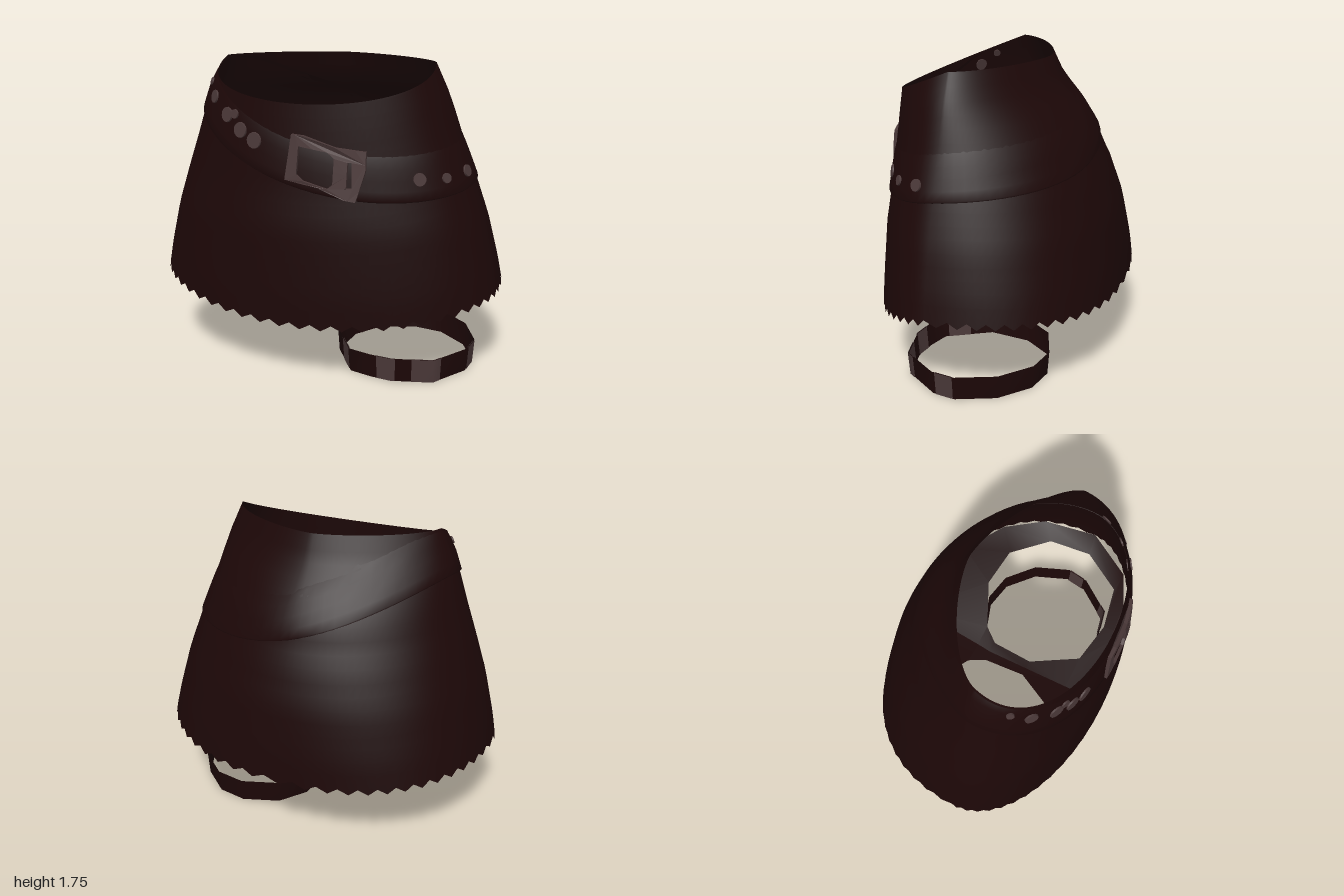
import * as THREE from 'three';

const leather = new THREE.MeshStandardMaterial({ color: 0x1c0707, side: THREE.DoubleSide });
leather.name = 'dark leather';
const metal = new THREE.MeshStandardMaterial({ color: 0x4a3838, side: THREE.DoubleSide });
metal.name = 'dull metal';

// Body profile: height, half width, front z, back z
const PROFILE = [
  [0.34, 1.025, 0.68, -0.685], [0.52, 1.0, 0.68, -0.675], [0.65, 0.975, 0.675, -0.66],
  [0.9, 0.915, 0.665, -0.62], [1.13, 0.84, 0.635, -0.55], [1.23, 0.805, 0.628, -0.503], [1.33, 0.77, 0.62, -0.475],
  [1.47, 0.725, 0.61, -0.39], [1.6, 0.68, 0.6, -0.28], [1.76, 0.605, 0.59, -0.21],
];
const CZ = 0.15;

function profile(y) {
  let i = 0;
  while (i < PROFILE.length - 2 && y > PROFILE[i + 1][0]) i++;
  const a = PROFILE[i], b = PROFILE[i + 1];
  const t = THREE.MathUtils.clamp((y - a[0]) / (b[0] - a[0]), 0, 1);
  return [1, 2, 3].map((k) => a[k] + (b[k] - a[k]) * t);
}

// Point on the body at angle a (0 = front, 90 degrees = +x) and height y
function surface(a, y, off = 0) {
  const [rx, zf, zb] = profile(y);
  const s = Math.sin(a), c = Math.cos(a);
  const n = c >= 0 ? 2 : THREE.MathUtils.mapLinear(y, 0.4, 1.76, 2.4, 1.5);
  const pow = (v) => Math.sign(v) * Math.abs(v) ** (2 / n);
  const depth = c >= 0 ? zf - CZ : CZ - zb;
  return new THREE.Vector3((rx + off) * pow(s), y, CZ + (depth + off) * pow(c));
}

// Height curves around the body
const rimY = (a) => Math.min(1.755, 1.75 - 0.41 * (surface(a, 1.66).z - 0.16));
const hemY = (a) => 0.4675 - 0.045 * Math.cos(a) - 0.0525 * Math.cos(2 * a);
const beltLow = (a) => 1.25 - 0.195 * Math.sin(a) - 0.06 * Math.cos(a) - 0.065 * Math.cos(2 * a);

// Grid surface from f(column, row); closed joins the last column to the first
function grid(cols, rows, closed, f) {
  const pos = [], idx = [], spans = closed ? cols : cols - 1;
  for (let i = 0; i < cols; i++) for (let j = 0; j < rows; j++) pos.push(...f(i, j).toArray());
  for (let i = 0; i < spans; i++) {
    for (let j = 0; j < rows - 1; j++) {
      const a = i * rows + j, b = ((i + 1) % cols) * rows + j;
      idx.push(a, b, b + 1, a, b + 1, a + 1);
    }
  }
  const g = new THREE.BufferGeometry();
  g.setAttribute('position', new THREE.Float32BufferAttribute(pos, 3));
  g.setIndex(idx);
  g.computeVertexNormals();
  return g;
}

function add(parent, name, geometry, material) {
  const m = new THREE.Mesh(geometry, material);
  m.name = name;
  parent.add(m);
  return m;
}

// Flaring skirt with a pointed hem
function skirt() {
  const cols = 108, rows = 20;
  return grid(cols, rows, true, (i, j) => {
    const a = (i / cols) * Math.PI * 2;
    const hem = hemY(a), t = j / (rows - 2);
    if (j === rows - 1) return surface(a, rimY(a));
    const y = j === 0 ? hem + (i % 2 ? 0.016 : -0.016) : hem + 0.03 + (rimY(a) - hem - 0.04) * t;
    return surface(a, y);
  });
}

// Slanted belt: a ledge at its lower edge, blending into the skirt at the top
function belt() {
  const cols = 72;
  const section = [[0, -0.004], [0.012, 0.016], [0.06, 0.015], [0.12, 0.013], [0.18, 0.009], [0.23, 0.003], [0.26, -0.004]];
  return grid(cols, section.length, true, (i, j) => {
    const a = (i / cols) * Math.PI * 2;
    const thin = 0.75 + 0.25 * Math.cos(a);
    return surface(a, Math.min(beltLow(a) + section[j][0], rimY(a) - 0.015), section[j][1] * thin);
  });
}

// Buckle frame, bent to follow the belt at a given distance from the skirt
function buckle(off, depth) {
  const outline = (pts, n, P) => {
    const out = [];
    pts.forEach((p, k) => {
      const q = pts[(k + 1) % pts.length];
      for (let i = 0; i < n; i++) {
        out.push(new THREE.Vector2(p[0] + (q[0] - p[0]) * i / n, p[1] + (q[1] - p[1]) * i / n));
      }
    });
    return new P(out);
  };
  const frame = outline([[-0.045, 1.42], [0.02, 1.415], [0.19, 1.36], [0.345, 1.34], [0.345, 1.24], [0.3, 1.08],
    [0.24, 1.09], [0.1, 1.15], [-0.08, 1.18], [-0.065, 1.28]], 3, THREE.Shape);
  frame.holes.push(
    outline([[-0.005, 1.36], [0.15, 1.335], [0.185, 1.305], [0.18, 1.17], [0.15, 1.145], [0.02, 1.18], [-0.015, 1.21]], 2, THREE.Path),
    outline([[0.255, 1.285], [0.275, 1.285], [0.28, 1.15], [0.25, 1.15]], 2, THREE.Path));
  const g = new THREE.ExtrudeGeometry(frame, { depth, bevelEnabled: false });
  const p = g.attributes.position;
  for (let i = 0; i < p.count; i++) {
    const [rx, zf] = profile(p.getY(i));
    const x = p.getX(i);
    p.setZ(i, p.getZ(i) + CZ + (zf - CZ + off) * Math.sqrt(1 - (x / (rx + off)) ** 2));
  }
  g.computeVertexNormals();
  return g;
}

// Round studs laid flat on the belt, with their backs inside: x, y, radius
function studs(parent) {
  const list = [[-0.62, 1.63, 0.022], [-0.565, 1.56, 0.037], [-0.455, 1.48, 0.042], [-0.4, 1.49, 0.026],
    [-0.36, 1.41, 0.043], [-0.27, 1.365, 0.045], [0.605, 1.19, 0.036], [0.728, 1.185, 0.028], [0.812, 1.2, 0.034]];
  for (const [x, y, r] of list) {
    for (const off of [0.015, -0.006]) {
      const a = Math.asin(x / (profile(y)[0] + 0.015));
      const p = surface(a, y, off);
      const du = surface(a + 0.02, y, off).sub(surface(a - 0.02, y, off));
      const dv = surface(a, y + 0.02, off).sub(surface(a, y - 0.02, off));
      const stud = add(parent, off > 0 ? 'stud' : 'studBack', new THREE.CylinderGeometry(r * 0.96, r, 0.009, 14), metal);
      stud.position.copy(p);
      stud.quaternion.setFromUnitVectors(new THREE.Vector3(0, 1, 0), du.cross(dv).normalize());
    }
  }
}

// Half of the inner brief: leg opening (x, z) joined to the skirt at angle a,
// or to the centre line where no angle is given
const LEG = [[0.05, 0.14], [0.2, 0.42], [0.2, 0.42, 0], [0.45, 0.47, 0.5], [0.7, 0.42, 1], [0.85, 0.17, 1.57],
  [0.83, -0.1, 1.95], [0.62, -0.3, 2.3], [0.38, -0.33, 2.65], [0.13, -0.21, Math.PI], [0.13, -0.21], [0.065, -0.12]];
const sag = (z) => (z > -0.12 ? 0.375 + 0.08 * (z + 0.12) : 0.375 - 0.33 * (z + 0.12));
function briefHalf(side) {
  return grid(LEG.length, 2, true, (i, j) => {
    const [x, z, a] = LEG[i];
    if (j === 0) return new THREE.Vector3(x * side, sag(z) + 0.004 + 0.17 * (x - 0.05), z);
    if (a === undefined) return new THREE.Vector3(0, sag(z), z);
    return surface(a * side, hemY(a) + 0.06, -0.015);
  });
}

// Upright wall along a plan path, with a slight taper to the bottom
function wall(path, closed, y0, y1, grow) {
  const cx = 0.455, cz = 0.05;
  return grid(path.length, 2, closed, (i, j) => {
    const k = grow * (j ? 1 : 0.975);
    return new THREE.Vector3(cx + (path[i][0] - cx) * k, j ? y1 : y0, cz + (path[i][1] - cz) * k);
  });
}

// Leg strap with metal plates showing on both faces
function thighBand() {
  const band = new THREE.Group();
  band.name = 'thighBand';
  const ring = [[0.05, 0.13], [0.2, 0.39], [0.33, 0.43], [0.46, 0.45], [0.69, 0.4], [0.84, 0.19],
    [0.86, 0.05], [0.77, -0.17], [0.6, -0.32], [0.42, -0.355], [0.2, -0.28], [0.08, -0.12]];
  add(band, 'strap', wall(ring, true, 0, 0.14, 1), leather);
  const plates = [[[0.12, 0.251], [0.19, 0.373]], [[0.37, 0.436], [0.46, 0.45], [0.48, 0.446]],
    [[0.57, 0.426], [0.69, 0.4], [0.722, 0.355]], [[0.843, 0.17], [0.859, 0.06]]];
  for (const path of plates) {
    for (const grow of [0.99, 1.01]) add(band, 'strapPlate', wall(path, false, 0.001, 0.14, grow), metal);
  }
  return band;
}

export function createModel() {
  const model = new THREE.Group();
  model.name = 'beltedSkirt';
  add(model, 'skirt', skirt(), leather);
  add(model, 'belt', belt(), leather);
  add(model, 'buckle', buckle(0.012, 0.02), metal);
  add(model, 'buckleBack', buckle(-0.012, 0.006), metal);
  studs(model);
  for (const side of [1, -1]) add(model, 'innerBrief', briefHalf(side), leather);
  model.add(thighBand());
  return model;
}
